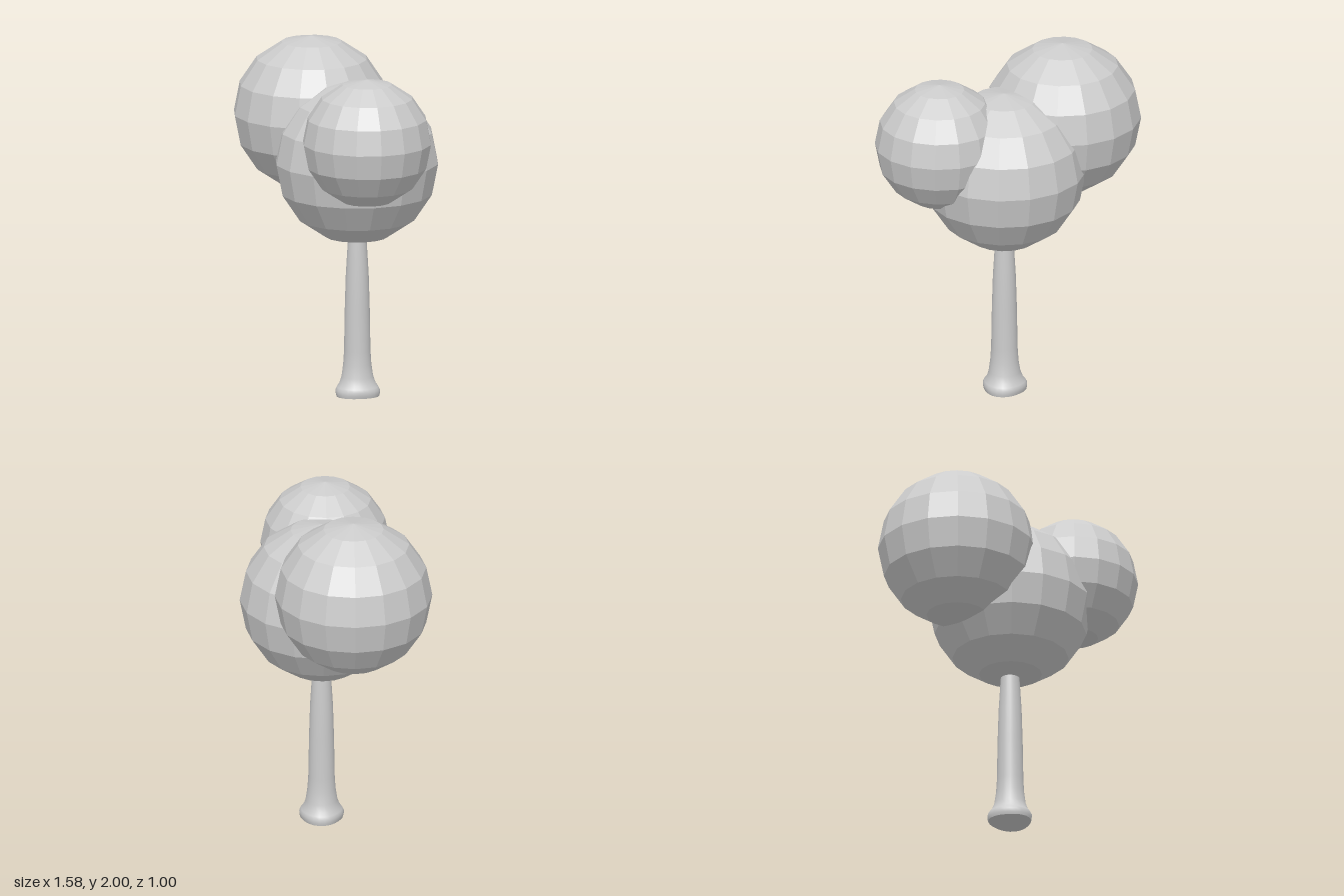
import * as THREE from 'three';
import { mergeVertices } from 'three/addons/utils/BufferGeometryUtils.js';

const TRUNK_X = 0.0875, TRUNK_Z = -0.04;

// Push the foot of the trunk out into three soft root lobes, fading with height
function addRootLobes(geometry) {
  const p = geometry.attributes.position;
  for (let i = 0; i < p.count; i++) {
    const x = p.getX(i), y = p.getY(i), z = p.getZ(i);
    const fade = Math.max(0, 1 - y / 0.14);
    const k = 1 + 0.06 * fade * Math.cos(3 * (Math.atan2(z, x) - THREE.MathUtils.degToRad(205)));
    p.setXYZ(i, x * k, y, z * k);
  }
  // Weld the seam so the bark shades smoothly all round
  geometry.deleteAttribute('uv');
  geometry.deleteAttribute('normal');
  const welded = mergeVertices(geometry, 1e-4);
  welded.computeVertexNormals();
  return welded;
}

export function createModel() {
  const tree = new THREE.Group();
  tree.name = 'tree';
  const bark = new THREE.MeshStandardMaterial({ color: 0xcccccc });
  const leaves = new THREE.MeshStandardMaterial({ color: 0xcccccc, flatShading: true });

  const add = (name, geometry, material, x, y, z) => {
    const mesh = new THREE.Mesh(geometry, material);
    mesh.name = name;
    mesh.position.set(x, y, z);
    tree.add(mesh);
    return mesh;
  };

  // Trunk: slender taper with a flared, rolled foot
  const profile = [
    [0.12, 0], [0.124, 0.015], [0.125, 0.035], [0.117, 0.052], [0.103, 0.072],
    [0.09, 0.11], [0.08, 0.18], [0.075, 0.26], [0.071, 0.5], [0.065, 0.7],
    [0.053, 0.9], [0.045, 1.0],
  ].map(([r, y]) => new THREE.Vector2(r, y));
  add('trunk', addRootLobes(new THREE.LatheGeometry(profile, 24)), bark, TRUNK_X, 0, TRUNK_Z);

  // Underside of the foot
  const underside = new THREE.CircleGeometry(0.12, 24).rotateX(Math.PI / 2);
  add('trunkUnderside', addRootLobes(underside), bark, TRUNK_X, 0, TRUNK_Z);

  // Foliage: three faceted balls
  const balls = [
    ['middleFoliage', 0.465, 0.0875, 1.35, -0.037],
    ['rightFoliage', 0.445, -0.35, 1.555, -0.037],
    ['leftFoliage', 0.366, 0.423, 1.541, 0.132],
  ];
  for (const [name, r, x, y, z] of balls) {
    add(name, new THREE.SphereGeometry(r, 16, 8), leaves, x, y, z);
  }
  return tree;
}
